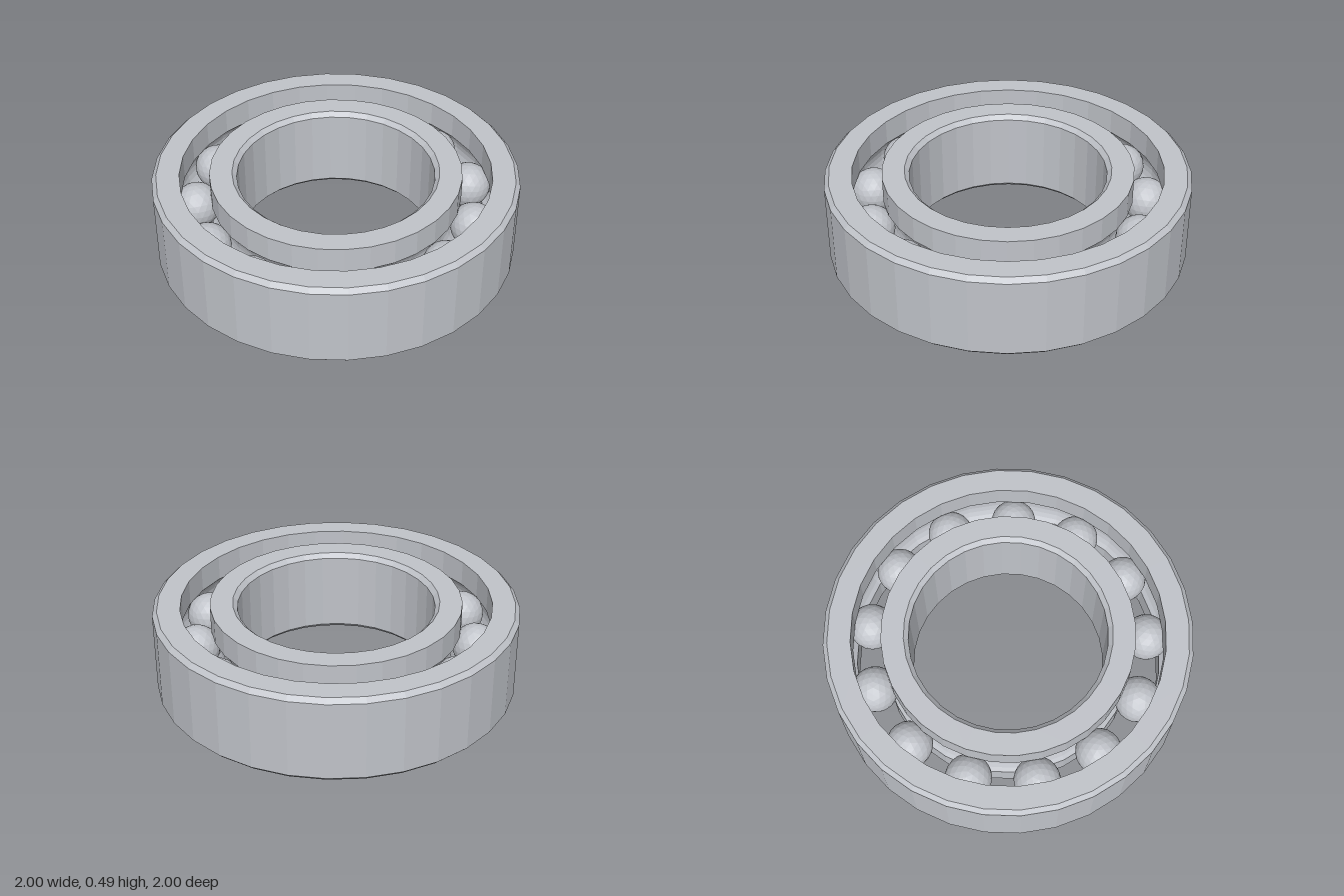
import * as THREE from 'three';

const HEIGHT = 0.49, MID = HEIGHT / 2, CHAMFER = 0.025;
const PITCH = 0.77;      // radius of the circle of balls
const BALL = 0.127, GROOVE = 0.13;
const BALLS = 13, SIDES = 32;

// Ball groove: arc around the pitch circle, cut into a wall of the given radius.
// Runs upward; side is +1 for the outer ring and -1 for the inner ring.
function groove(wall, side) {
  const half = Math.acos(Math.abs(wall - PITCH) / GROOVE);
  const points = [];
  for (let i = 0; i <= 8; i++) {
    const a = -half + (2 * half * i) / 8;
    points.push([PITCH + side * GROOVE * Math.cos(a), MID + GROOVE * Math.sin(a)]);
  }
  return points;
}

// Closed profile of [radius, y], counterclockwise, turned around the y axis.
function ring(name, profile, material) {
  const points = [...profile, profile[0]].map(([r, y]) => new THREE.Vector2(r, y));
  const mesh = new THREE.Mesh(new THREE.LatheGeometry(points, SIDES), material);
  mesh.name = name;
  return mesh;
}

export function createModel() {
  const steel = new THREE.MeshStandardMaterial({ color: 0xc0c3c9 });
  steel.name = 'steel';
  steel.flatShading = true;

  const model = new THREE.Group();
  model.name = 'ballBearing';

  // Outer race: chamfered outside, grooved inside
  const outerWall = 0.85;
  model.add(ring('outerRace', [
    [outerWall, 0], [1 - CHAMFER, 0], [1, CHAMFER],
    [1, HEIGHT - CHAMFER], [1 - CHAMFER, HEIGHT], [outerWall, HEIGHT],
    ...groove(outerWall, 1).reverse(),
  ], steel));

  // Inner race: grooved outside, chamfered bore
  const innerWall = 0.688, bore = 0.54;
  model.add(ring('innerRace', [
    [bore + CHAMFER, 0], [innerWall, 0],
    ...groove(innerWall, -1),
    [innerWall, HEIGHT], [bore + CHAMFER, HEIGHT],
    [bore, HEIGHT - CHAMFER], [bore, CHAMFER],
  ], steel));

  // Faceted balls, with one corner pointing straight up
  const ballGeometry = new THREE.IcosahedronGeometry(BALL, 3);
  ballGeometry.rotateZ(-Math.atan(2 / (1 + Math.sqrt(5))));
  const balls = new THREE.Group();
  balls.name = 'balls';
  for (let i = 0; i < BALLS; i++) {
    const angle = (i / BALLS) * Math.PI * 2;
    const ball = new THREE.Mesh(ballGeometry, steel);
    ball.name = 'ball';
    ball.position.set(PITCH * Math.cos(angle), MID, -PITCH * Math.sin(angle));
    ball.rotation.y = angle;
    balls.add(ball);
  }
  model.add(balls);

  return model;
}
